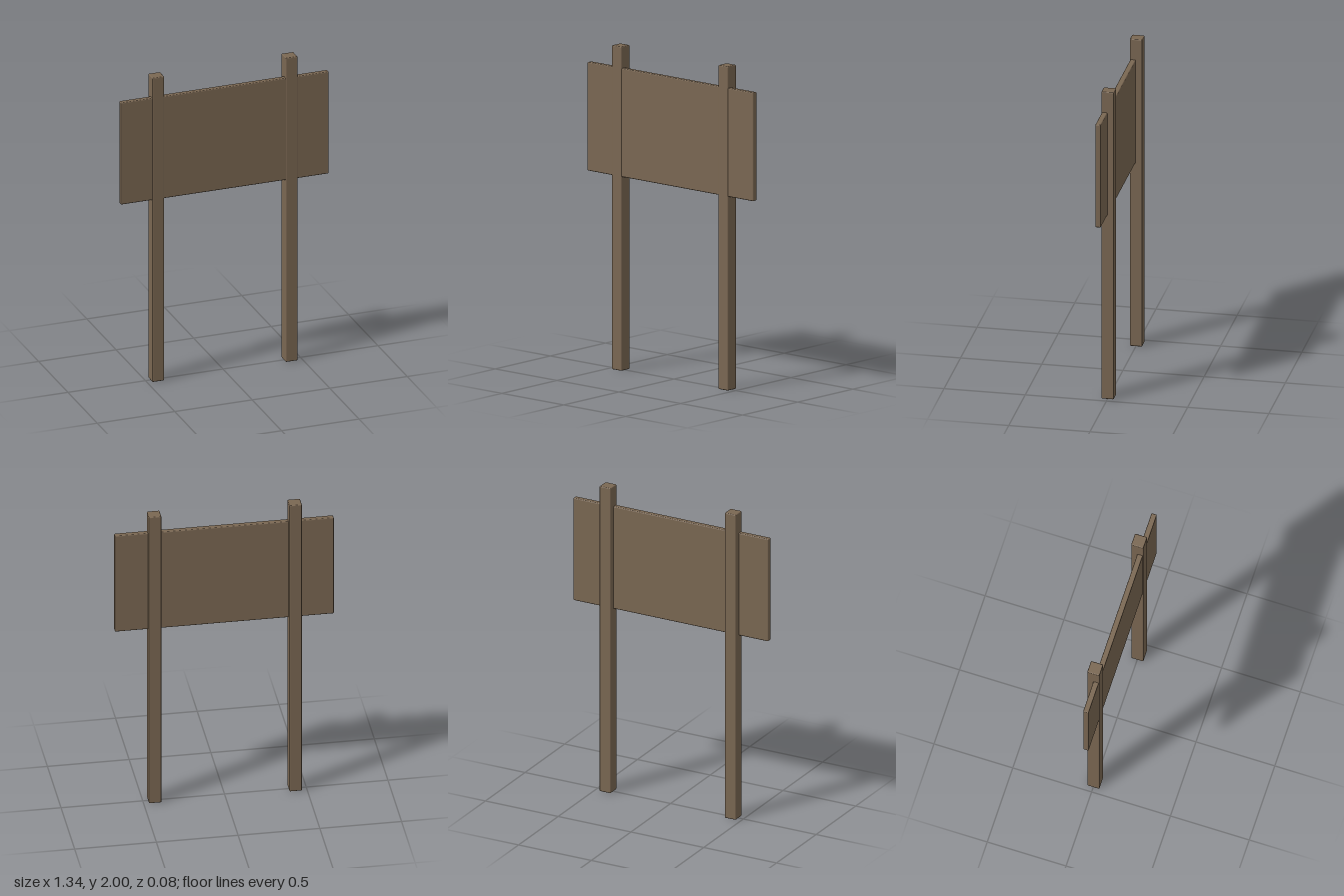
import * as THREE from 'three';
import { RoundedBoxGeometry } from 'three/addons/geometries/RoundedBoxGeometry.js';

export function createModel() {
  const model = new THREE.Group();
  model.name = 'signboard';
  const wood = new THREE.MeshStandardMaterial({ color: 0x7a6752 });

  // Timber with slightly softened edges
  function addTimber(name, size, position) {
    const mesh = new THREE.Mesh(new RoundedBoxGeometry(...size, 2, 0.006), wood);
    mesh.name = name;
    mesh.position.set(...position);
    model.add(mesh);
  }

  // Two square posts standing on the ground
  for (const [name, side] of [['leftPost', 1], ['rightPost', -1]]) {
    addTimber(name, [0.077, 2, 0.077], [side * 0.43, 1, 0]);
  }

  // Panel let into the posts, almost flush with their front faces
  addTimber('panel', [1.34, 0.67, 0.034], [0, 1.532, 0.018]);

  return model;
}
